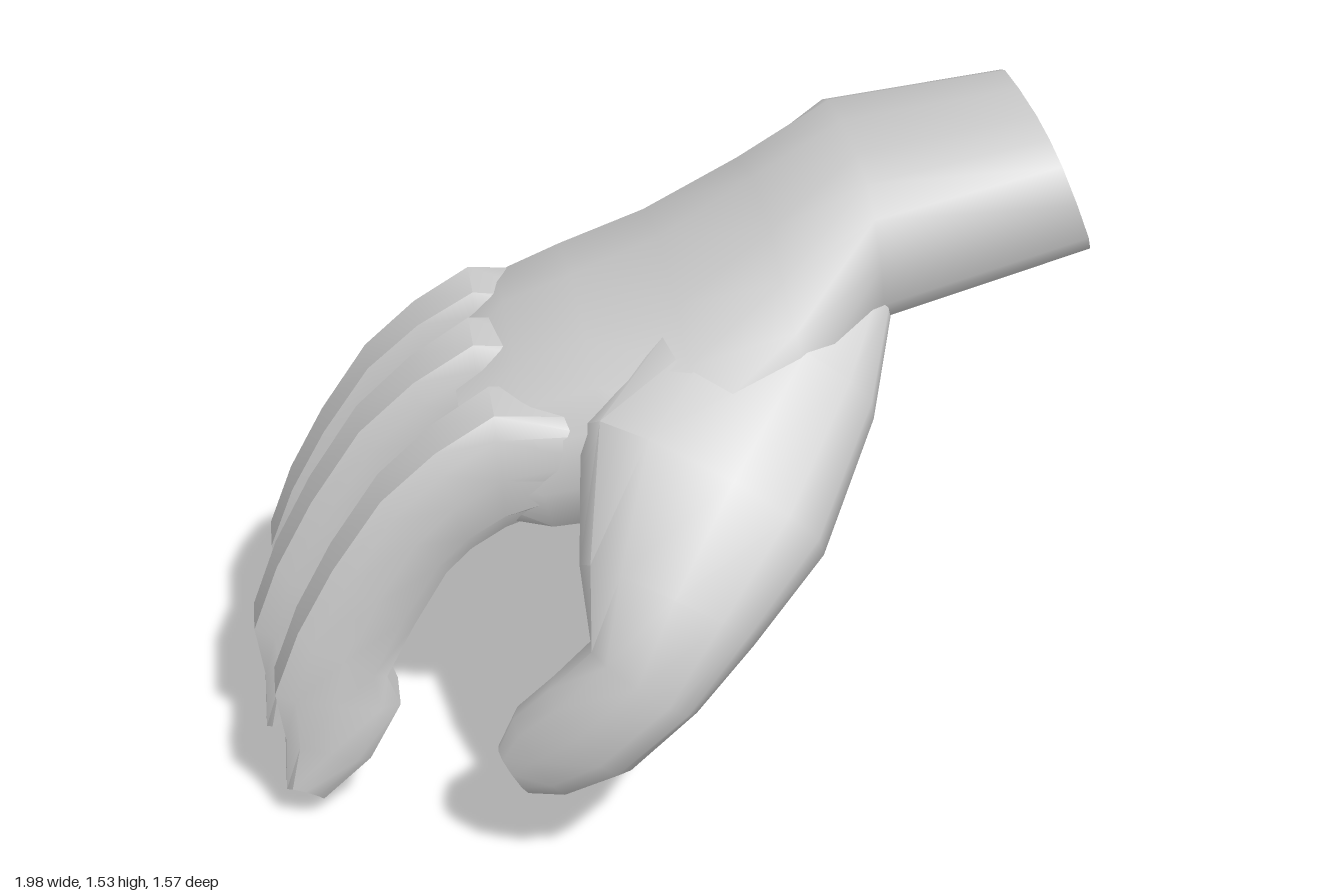
import * as THREE from 'three';
import { toCreasedNormals } from 'three/addons/utils/BufferGeometryUtils.js';

const V = (x, y, z) => new THREE.Vector3(x, y, z);
const material = new THREE.MeshStandardMaterial({ color: 0xcccccc });

// Skin a list of equal-sized rings and close both ends
function loft(name, rings, crease) {
  const n = rings[0].length, pos = [], idx = [];
  rings.forEach(r => r.forEach(p => pos.push(p.x, p.y, p.z)));
  for (let i = 0; i < rings.length - 1; i++) {
    for (let k = 0; k < n; k++) {
      const a = i * n + k, b = i * n + (k + 1) % n;
      idx.push(a, b, b + n, a, b + n, a + n);
    }
  }
  [0, rings.length - 1].forEach(i => {
    const c = rings[i].reduce((s, p) => s.add(p), V(0, 0, 0)).divideScalar(n);
    const m = pos.length / 3;
    pos.push(c.x, c.y, c.z);
    for (let k = 0; k < n; k++) {
      const a = i * n + k, b = i * n + (k + 1) % n;
      if (i) idx.push(a, b, m); else idx.push(b, a, m);
    }
  });
  const geo = new THREE.BufferGeometry();
  geo.setAttribute('position', new THREE.Float32BufferAttribute(pos, 3));
  geo.setIndex(idx);
  const mesh = new THREE.Mesh(toCreasedNormals(geo, crease), material);
  mesh.name = name;
  return mesh;
}

// Rounded-box outline: calls place(u, v) with u, v in -1..1
function outline(sides, powerU, powerV, place) {
  const soft = (s, p) => Math.sign(s) * Math.pow(Math.abs(s), p);
  return Array.from({ length: sides }, (_, k) => {
    const a = (k / sides) * Math.PI * 2;
    return place(soft(Math.cos(a), powerU), soft(Math.sin(a), powerV));
  });
}

// Ring between a back-of-hand point and a palm-side point, spread along z
function slab([tx, ty, bx, by], z0, z1, droop0, droop1, sides, powerU, powerV) {
  return outline(sides, powerU, powerV, (u, v) => {
    const s = (v + 1) / 2, droop = (u < 0 ? droop0 : droop1) * u * u;
    return V(bx + (tx - bx) * s, by + (ty - by) * s - droop, (z0 + z1) / 2 + u * (z1 - z0) / 2);
  });
}

// Forearm stump, wrist and palm: back x y, palm x y, z range, edge droop, roundness
function palm() {
  const rows = [
    [0.85, 1.55, 0.995, 1.20, -0.43, 0.14, 0, 0, 0.7],
    [0.43, 1.50, 0.49, 1.07, -0.47, 0.21, 0, 0, 0.75],
    [0.22, 1.38, 0.32, 0.92, -0.58, 0.36, 0.13, 0.08, 0.75],
    [0.00, 1.25, 0.09, 0.79, -0.65, 0.46, 0.15, 0.11, 0.7],
    [-0.20, 1.15, -0.13, 0.74, -0.66, 0.39, 0.13, 0.06, 0.62],
    [-0.36, 1.09, -0.28, 0.73, -0.62, 0.35, 0.13, 0.07, 0.6],
    [-0.49, 0.98, -0.43, 0.77, -0.44, 0.32, 0.06, 0.05, 0.6],
  ];
  return loft('palmAndWrist',
    rows.map(r => slab(r, r[4], r[5], r[6], r[7], 16, r[8], r[8])), 0.9);
}

// Curled finger profile: back x y, palm x y
const fingerProfile = [
  [-0.22, 1.05, -0.17, 0.85],
  [-0.44, 1.07, -0.42, 0.75],
  [-0.58, 0.98, -0.50, 0.70],
  [-0.71, 0.86, -0.56, 0.64],
  [-0.83, 0.68, -0.64, 0.50],
  [-0.92, 0.51, -0.71, 0.36],
  [-0.985, 0.34, -0.68, 0.28],
  [-0.965, 0.21, -0.76, 0.13],
  [-0.97, 0.04, -0.88, 0.00],
];

function finger({ name, sx, dx, sy, dy, z0, z1, w0, w1, bow = 0 }) {
  const last = fingerProfile.length - 1;
  const rings = fingerProfile.map(([tx, ty, bx, by], i) => {
    const t = i / last;
    const z = z0 + (z1 - z0) * t + bow * Math.sin(Math.PI * t);
    const w = (w0 + (w1 - w0) * Math.sqrt(t)) / 2 * (i === last ? 0.9 : 1);
    const droop = i === last ? -0.04 : 0;
    return slab([tx * sx + dx, ty * sy + dy, bx * sx + dx, by * sy + dy],
      z - w, z + w, droop, droop, 10, 0.38, 0.8);
  });
  return loft(name, rings, 0.75);
}

// Thumb with its fleshy base: centre x y z, outer and inner half width, half thickness
function thumb() {
  const rows = [
    [0.41, 1.18, 0.11, 0.11, 0.12, 0.08],
    [0.27, 1.04, 0.23, 0.20, 0.32, 0.15],
    [0.07, 0.85, 0.45, 0.25, 0.36, 0.15],
    [-0.07, 0.68, 0.60, 0.20, 0.22, 0.13],
    [-0.14, 0.55, 0.67, 0.14, 0.14, 0.11],
    [-0.25, 0.42, 0.64, 0.135, 0.135, 0.10],
    [-0.35, 0.33, 0.595, 0.115, 0.115, 0.085],
    [-0.42, 0.28, 0.59, 0.065, 0.065, 0.045],
  ];
  const centres = rows.map(r => V(r[0], r[1], r[2]));
  const last = rows.length - 1;
  const rings = rows.map((r, i) => {
    const dir = centres[Math.min(i + 1, last)].clone()
      .sub(centres[Math.max(i - 1, 0)]).normalize();
    const up = V(0, 0.73, 0.68).lerp(V(-0.2, 0.3, 0.93), i / last);
    const wide = up.cross(dir).normalize();
    const thick = dir.clone().cross(wide);
    return outline(12, 0.8, 0.8, (u, v) => centres[i].clone()
      .addScaledVector(wide, u * (u > 0 ? r[3] : r[4])).addScaledVector(thick, v * r[5]));
  });
  return loft('thumb', rings, 0.9);
}

export function createModel() {
  const hand = new THREE.Group();
  hand.name = 'hand';
  hand.add(palm(), thumb());
  [
    { name: 'indexFinger', sx: 0.97, dx: 0.005, sy: 0.92, dy: 0.045, z0: 0.225, z1: 0.29, w0: 0.26, w1: 0.165 },
    { name: 'middleFinger', sx: 1.01, dx: 0, sy: 1, dy: 0, z0: -0.045, z1: -0.045, w0: 0.26, w1: 0.175 },
    { name: 'ringFinger', sx: 0.96, dx: 0, sy: 0.96, dy: 0.04, z0: -0.32, z1: -0.415, w0: 0.26, w1: 0.17 },
    { name: 'littleFinger', sx: 0.75, dx: 0.08, sy: 0.75, dy: 0.10, z0: -0.53, z1: -0.645, w0: 0.23, w1: 0.15, bow: -0.1 },
  ].forEach(f => hand.add(finger(f)));
  return hand;
}
